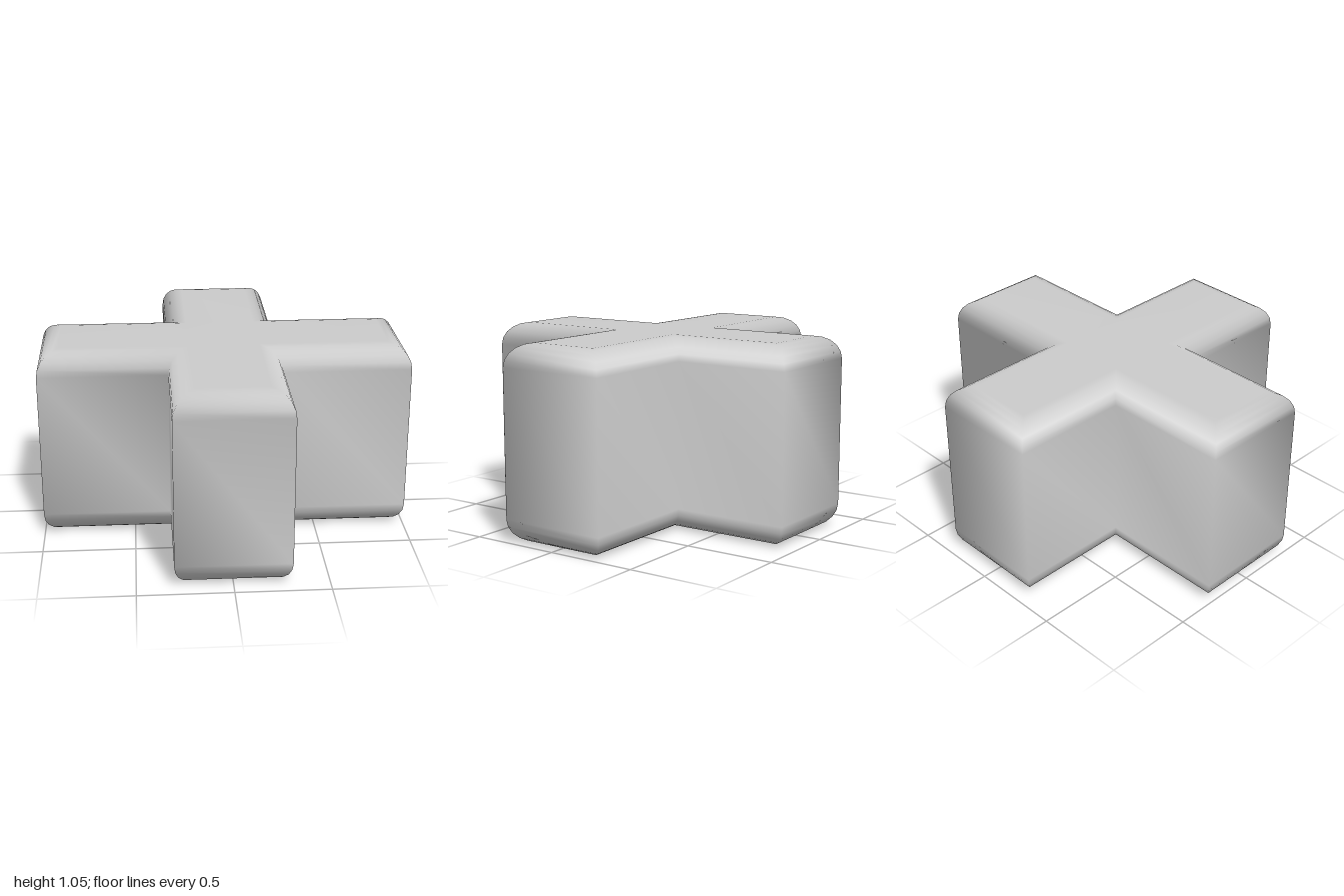
import * as THREE from 'three';
import { mergeVertices } from 'three/addons/utils/BufferGeometryUtils.js';

export function createModel() {
  const group = new THREE.Group();
  group.name = 'plusBlock';

  const height = 1.05, bevel = 0.115, bevelHeight = 0.125;
  // plus outline of the flat cap; the bevel grows it to full size
  const w = 0.305 - bevel, x = 1 - bevel, z = 0.945 - bevel;
  const outline = new THREE.Shape([
    [w, -z], [w, -w], [x, -w], [x, w], [w, w], [w, z],
    [-w, z], [-w, w], [-x, w], [-x, -w], [-w, -w], [-w, -z],
  ].map(([a, b]) => new THREE.Vector2(a, b)));

  let geometry = new THREE.ExtrudeGeometry(outline, {
    depth: height - 2 * bevelHeight,
    bevelThickness: bevelHeight,
    bevelSize: bevel,
    bevelSegments: 5,
  });
  geometry.rotateX(-Math.PI / 2);
  geometry.translate(0, bevelHeight, 0);

  // weld so the shading runs smoothly round every edge
  geometry.deleteAttribute('uv');
  geometry.deleteAttribute('normal');
  geometry.clearGroups();
  geometry = mergeVertices(geometry, 1e-4);
  geometry.computeVertexNormals();

  const body = new THREE.Mesh(geometry, new THREE.MeshStandardMaterial({ color: 0xcccccc }));
  body.name = 'crossBody';
  group.add(body);
  return group;
}
